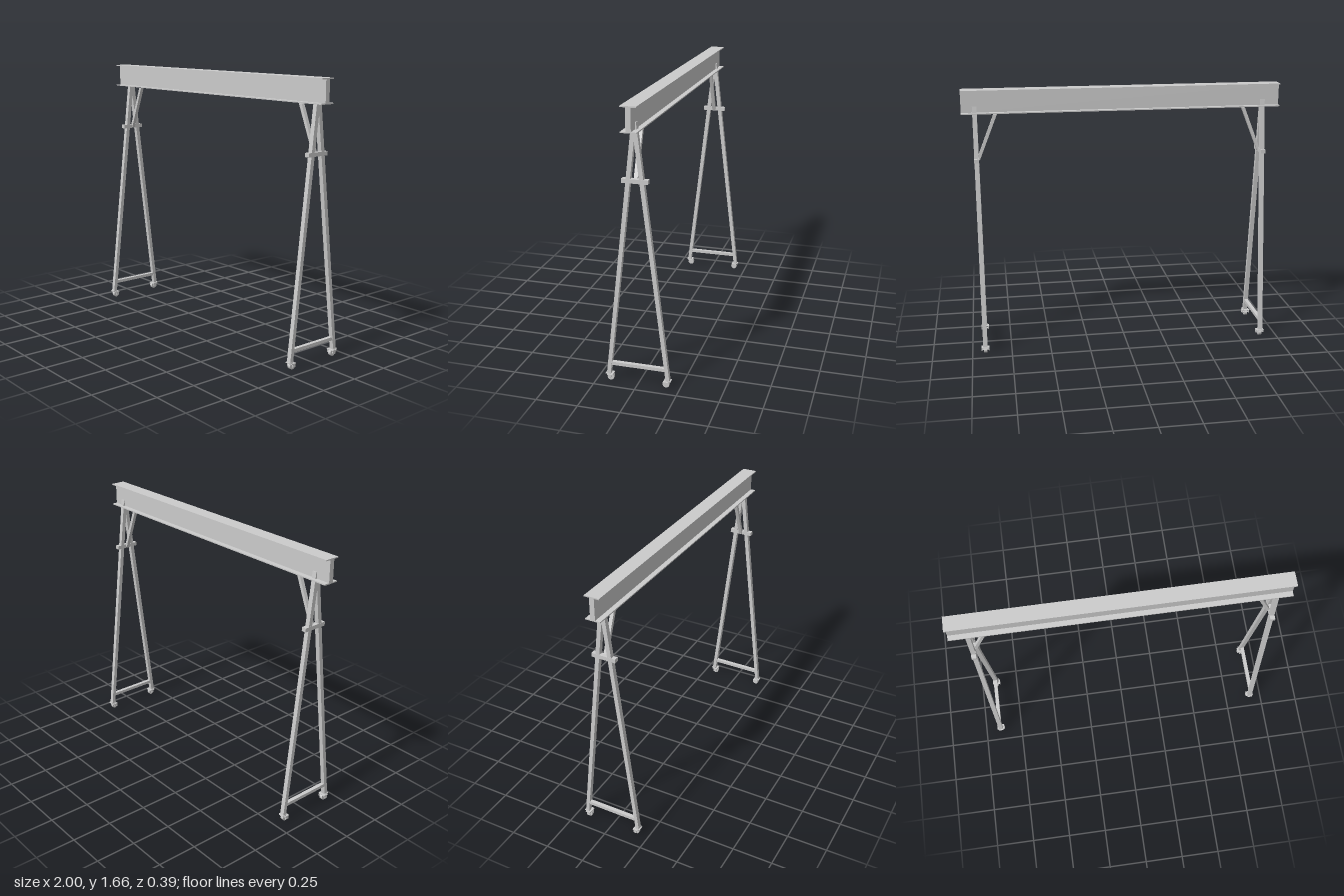
import * as THREE from 'three';

const grey = new THREE.MeshStandardMaterial({ color: 0xcccccc, flatShading: true });
const smooth = new THREE.MeshStandardMaterial({ color: 0xcccccc });

function add(parent, name, geometry, x, y, z, material = grey) {
  const mesh = new THREE.Mesh(geometry, material);
  mesh.name = name;
  mesh.position.set(x, y, z);
  parent.add(mesh);
  return mesh;
}

const box = (parent, name, w, h, d, x, y, z) =>
  add(parent, name, new THREE.BoxGeometry(w, h, d), x, y, z);

// Closed outline in the x/y plane, extruded by depth and centred on z
function slab(points, depth) {
  const shape = new THREE.Shape(points.map(([x, y]) => new THREE.Vector2(x, y)));
  const geometry = new THREE.ExtrudeGeometry(shape, { depth, bevelEnabled: false });
  return geometry.translate(0, 0, -depth / 2);
}

// I-beam: one profile running along x
function createBeam() {
  const w = 0.046, t = 0.007, web = 0.015, h = 0.0725;
  const profile = [
    [-w, -h], [w, -h], [w, -h + t], [web, -h + t], [web, h - t], [w, h - t],
    [w, h], [-w, h], [-w, h - t], [-web, h - t], [-web, -h + t], [-w, -h + t],
  ];
  const beam = new THREE.Mesh(slab(profile, 2).rotateY(Math.PI / 2), grey);
  beam.name = 'beam';
  beam.position.set(0, 1.5875, 0.007);
  return beam;
}

// Caster: mounting plate, fork and wheel, offset towards the middle of the frame
function createCaster(side) {
  const caster = new THREE.Group();
  caster.name = 'caster';
  box(caster, 'casterPlate', 0.034, 0.005, 0.03, 0, 0.042, side * 0.182);
  box(caster, 'forkTop', 0.05, 0.005, 0.034, 0, 0.038, side * 0.17);
  for (const s of [-1, 1]) {
    box(caster, 'forkCheek', 0.005, 0.022, 0.022, s * 0.0225, 0.028, side * 0.168);
  }
  const wheel = new THREE.CylinderGeometry(0.02, 0.02, 0.02, 20).rotateZ(Math.PI / 2);
  add(caster, 'wheel', wheel, 0, 0.02, side * 0.168, smooth);
  const axle = new THREE.CylinderGeometry(0.005, 0.005, 0.052, 10).rotateZ(Math.PI / 2);
  add(caster, 'axle', axle, 0, 0.021, side * 0.168, smooth);
  return caster;
}

// A-frame support; inward is the x direction towards the middle of the beam
function createSupport(inward) {
  const support = new THREE.Group();
  support.name = 'support';
  for (const side of [-1, 1]) {
    // Leg with horizontally cut ends, leaning across the middle at the top
    const leg = slab([[0.167, 0.043], [0.19, 0.043], [0.0135, 1.56], [-0.0125, 1.56]], 0.028);
    leg.rotateY(-Math.PI / 2);
    const mesh = add(support, 'leg', leg, 0, 0, 0);
    if (side < 0) mesh.rotation.y = Math.PI;
    support.add(createCaster(side));
  }
  box(support, 'lowerTie', 0.024, 0.02, 0.33, 0, 0.11, 0);
  box(support, 'upperTie', 0.03, 0.024, 0.152, 0, 1.232, 0);
  // Diagonal brace up to the underside of the beam
  const brace = slab([[0, 1.225], [0.02, 1.225], [0.135, 1.508], [0.113, 1.508]], 0.022);
  const mesh = add(support, 'kneeBrace', brace, 0, 0, 0);
  if (inward < 0) mesh.rotation.y = Math.PI;
  return support;
}

export function createModel() {
  const model = new THREE.Group();
  model.name = 'gantry';
  model.add(createBeam());
  for (const [x, inward] of [[-0.895, 1], [0.918, -1]]) {
    const support = createSupport(inward);
    support.position.x = x;
    model.add(support);
  }
  return model;
}
